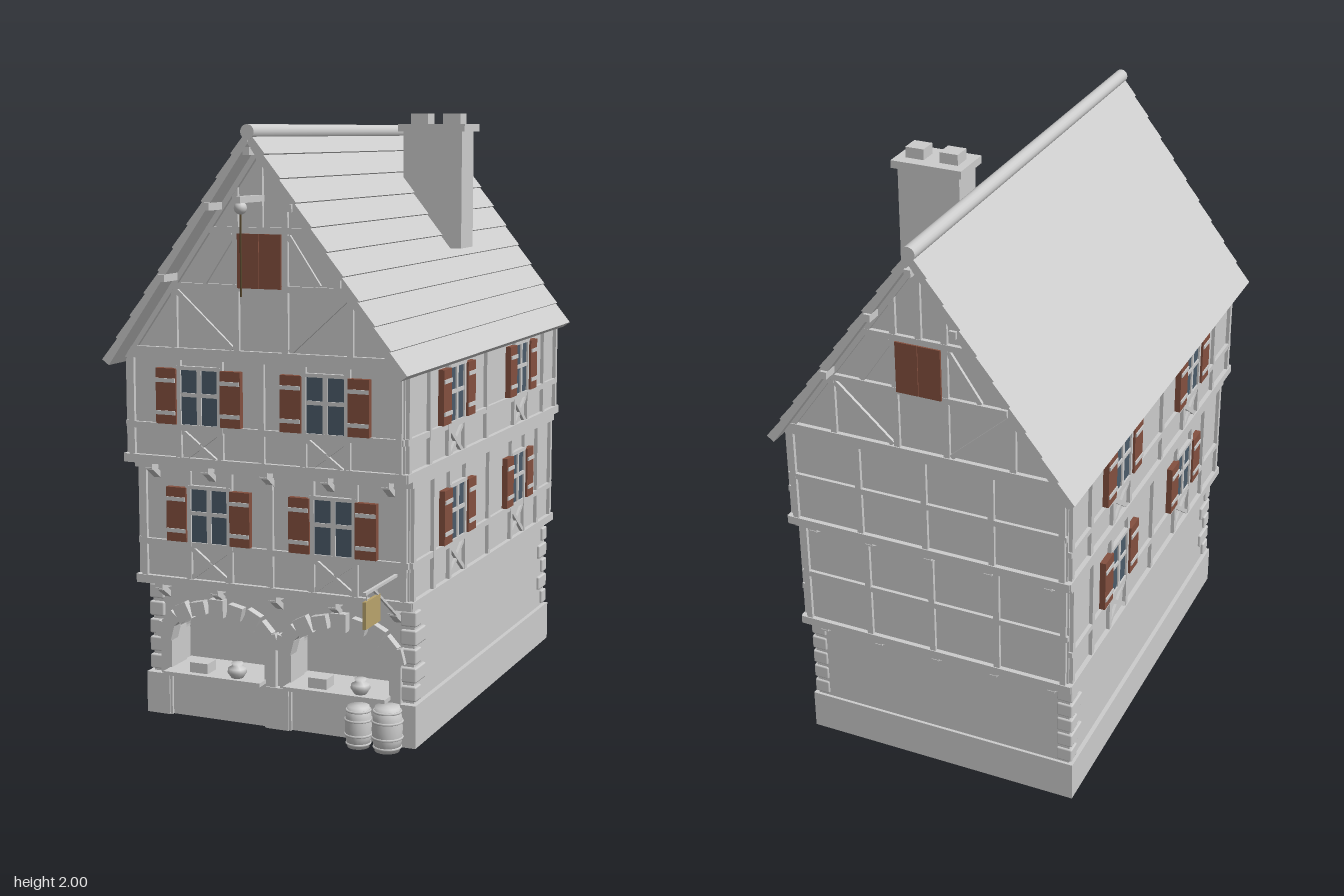
import * as THREE from 'three';
import { RoundedBoxGeometry } from 'three/addons/geometries/RoundedBoxGeometry.js';

const mat = (name, color) => Object.assign(new THREE.MeshStandardMaterial({ color }), { name });

export function createModel() {
  const model = new THREE.Group();
  model.name = 'timberFramedHouse';
  const plaster = mat('pale grey', 0xcccccc);
  const red = mat('shutter red', 0x84503f);
  const blue = mat('window blue', 0x4b5b6a);
  const tan = mat('sign tan', 0xb9a46c);
  const brown = mat('rope brown', 0x5a4a2e);

  function add(parent, name, geo, material = plaster, x = 0, y = 0, z = 0) {
    const m = new THREE.Mesh(geo, material);
    m.name = name;
    m.position.set(x, y, z);
    parent.add(m);
    return m;
  }
  // box given by its limits
  const span = (p, name, x0, x1, y0, y1, z0, z1, material) =>
    add(p, name, new THREE.BoxGeometry(x1 - x0, y1 - y0, z1 - z0), material, (x0 + x1) / 2, (y0 + y1) / 2, (z0 + z1) / 2);
  // timber lying on a wall face between two points
  function beam(p, x0, y0, x1, y1, w = 0.022, d = 0.012) {
    const len = Math.hypot(x1 - x0, y1 - y0);
    const m = add(p, 'timber', new THREE.BoxGeometry(len, w, d * 2), plaster, (x0 + x1) / 2, (y0 + y1) / 2, 0);
    m.rotation.z = Math.atan2(y1 - y0, x1 - x0);
    return m;
  }
  const extrude = (shape, z0, z1) =>
    new THREE.ExtrudeGeometry(shape, { depth: z1 - z0, bevelEnabled: false, curveSegments: 16 }).translate(0, 0, z0);
  const polygon = pts => new THREE.Shape(pts.map(p => new THREE.Vector2(p[0], p[1])));
  // wall face whose local +z points outwards
  function face(name, x, z, turn) {
    const g = new THREE.Group();
    g.name = name;
    g.position.set(x, 0, z);
    g.rotation.y = turn;
    model.add(g);
    return g;
  }

  // window with mullions, shutters and a crossed panel beneath
  function windowUnit(p, u, rail) {
    const g = new THREE.Group();
    g.name = 'window';
    g.position.set(u, rail, 0);
    p.add(g);
    span(g, 'glass', -0.07, 0.07, 0.01, 0.19, 0, 0.006, blue);
    span(g, 'mullion', -0.008, 0.008, 0.01, 0.19, 0, 0.011);
    span(g, 'glazingBar', -0.07, 0.07, 0.1, 0.113, 0, 0.011);
    span(g, 'windowHead', -0.08, 0.08, 0.187, 0.199, 0, 0.014);
    for (const s of [-1, 1]) {
      span(g, 'shutter', s * 0.115 - 0.036, s * 0.115 + 0.036, 0.01, 0.19, 0, 0.02, red);
      for (const y of [0.04, 0.145])
        span(g, 'shutterBand', s * 0.115 - 0.034, s * 0.115 + 0.034, y, y + 0.013, 0.018, 0.024);
      beam(g, s * 0.067, -0.11, -s * 0.067, -0.01, 0.015, 0.01 + s * 0.001);
    }
  }

  // ground floor with plinth and an arcaded front wall
  span(model, 'groundFloorCore', -0.47, 0.47, 0, 0.46, -0.78, 0.46);
  const wall = polygon([[-0.47, 0], [0.47, 0], [0.47, 0.46], [-0.47, 0.46]]);
  for (const c of [-0.22, 0.22]) {
    const hole = new THREE.Path();
    hole.moveTo(c + 0.18, 0.02);
    hole.lineTo(c + 0.18, 0.27);
    hole.absellipse(c, 0.27, 0.18, 0.09, 0, Math.PI, false);
    hole.lineTo(c - 0.18, 0.02);
    hole.closePath();
    wall.holes.push(hole);
  }
  add(model, 'arcadeWall', extrude(wall, 0.45, 0.585));
  span(model, 'plinth', -0.485, 0.485, 0, 0.14, -0.79, 0.5);
  for (const [a, b] of [[-0.485, -0.4], [-0.04, 0.04], [0.4, 0.485]])
    span(model, 'plinthFront', a, b, 0, 0.14, 0.49, 0.61);
  for (const c of [-0.22, 0.22]) {
    // arch stones, jambs and shop counter
    for (let i = 0; i < 9; i++) {
      const a = Math.PI * (0.05 + 0.9 * i / 8);
      const m = add(model, 'archStone', new THREE.BoxGeometry(0.052, i % 2 ? 0.045 : 0.06, 0.05), plaster,
        c + 0.195 * Math.cos(a), 0.272 + 0.112 * Math.sin(a), 0.59);
      m.rotation.z = Math.atan2(Math.sin(a) * 0.2, Math.cos(a) * 0.12) - Math.PI / 2;
    }
    for (const s of [-1, 1])
      span(model, 'archJamb', c + s * 0.192 - 0.02, c + s * 0.192 + 0.02, 0, 0.29, 0.5, 0.605);
    span(model, 'counterFront', c - 0.18, c + 0.18, 0, 0.155, 0.46, 0.595);
    span(model, 'counterTop', c - 0.178, c + 0.178, 0.15, 0.163, 0.46, 0.655);
    const k = c < 0 ? 0 : 0.01;
    span(model, 'goodsBox', c - 0.09 - k, c - 0.025 - k, 0.163, 0.197, 0.57, 0.63);
    const jar = [[0, 0], [0.02, 0], [0.032, 0.018], [0.03, 0.032], [0.016, 0.04], [0.02, 0.05], [0, 0.05]];
    add(model, 'jar', new THREE.LatheGeometry(jar.map(p => new THREE.Vector2(...p)), 16), plaster, c + 0.08, 0.163, 0.62);
  }

  // corner quoins
  for (const sx of [-1, 1]) for (const [sz, z] of [[1, 0.59], [-1, -0.78]])
    for (let i = 0; i < 5; i++) {
      const len = i % 2 ? 0.09 : 0.05;
      add(model, 'quoin', new RoundedBoxGeometry(0.055, 0.05, len, 1, 0.006), plaster,
        sx * 0.453, 0.173 + i * 0.061, z + sz * (0.006 - len / 2));
    }

  // two jettied storeys
  const storeys = [
    { y0: 0.46, y1: 0.875, x: 0.476, zf: 0.645, zb: -0.81, wins: [0.235, -0.4], posts: [0.455, -0.08, -0.63] },
    { y0: 0.875, y1: 1.245, x: 0.482, zf: 0.703, zb: -0.84, wins: [0.267, -0.405], posts: [0.51, -0.03, -0.67] },
  ];
  for (const { y0, y1, x, zf, zb, wins, posts } of storeys) {
    span(model, 'storeyWall', -x, x, y0, y1, zb, zf);
    const rail = y0 + (y0 < 0.5 ? 0.142 : 0.125);
    const faces = [
      { g: face('frontFace', 0, zf, 0), a: -x, b: x, w: [-0.22, 0.22], p: [0] },
      { g: face('backFace', 0, zb, Math.PI), a: -x, b: x, w: [], p: [-0.23, 0, 0.23] },
    ];
    for (const s of [1, -1]) {
      const ends = [-s * zf, -s * zb].sort((m, n) => m - n);
      faces.push({ g: face('sideFace', s * x, 0, s * Math.PI / 2), a: ends[0], b: ends[1],
        w: wins.map(z => -s * z), p: posts.map(z => -s * z) });
    }
    for (const { g, a, b, w, p } of faces) {
      beam(g, a - 0.012, y0 + 0.014, b + 0.012, y0 + 0.014, 0.028, 0.016);
      beam(g, a - 0.012, y1 - 0.014, b + 0.012, y1 - 0.014, 0.024, 0.014);
      const mid = w.length ? rail : (y0 + y1) / 2;
      beam(g, a, mid, b, mid, 0.02);
      const all = [a + 0.016, b - 0.016, ...p];
      for (const u of w) {
        all.push(u - 0.075, u + 0.075);
        windowUnit(g, u, rail);
      }
      for (const u of all) beam(g, u, y0, u, y1, 0.02, 0.0125);
    }
    // joist ends and braces carrying the overhang
    for (const u of [-0.415, -0.21, 0, 0.21, 0.415]) for (const [s, z] of [[1, zf], [-1, zb]]) {
      const inner = z - s * 0.07;
      span(model, 'joistEnd', u - 0.014, u + 0.014, y0 - 0.024, y0 + 0.004, Math.min(z, inner), Math.max(z, inner));
      const m = add(model, 'jettyBrace', new THREE.BoxGeometry(0.024, 0.018, 0.075), plaster, u, y0 - 0.032, z - s * 0.035);
      m.rotation.x = -s * 0.6;
    }
  }

  // attic and gable framing
  add(model, 'gableWall', extrude(polygon([[-0.48, 1.24], [0.48, 1.24], [0, 1.912]]), -0.84, 0.703));
  for (const g of [face('frontGable', 0, 0.703, 0), face('backGable', 0, -0.84, Math.PI)]) {
    beam(g, -0.48, 1.245, 0.48, 1.245, 0.024, 0.016);
    beam(g, -0.32, 1.455, 0.32, 1.455, 0.02, 0.014);
    beam(g, -0.185, 1.635, 0.185, 1.635, 0.02, 0.014);
    beam(g, 0, 1.635, 0, 1.9, 0.02);
    for (const s of [-1, 1]) {
      beam(g, s * 0.47, 1.235, 0, 1.893, 0.024, 0.013);
      beam(g, s * 0.305, 1.245, s * 0.305, 1.47, 0.02);
      beam(g, s * 0.085, 1.245, s * 0.085, 1.77, 0.02);
      beam(g, s * 0.3, 1.44, s * 0.1, 1.26, 0.016, 0.01);
      beam(g, s * 0.2, 1.465, s * 0.095, 1.62, 0.016, 0.01);
      span(g, 'loftHatch', s > 0 ? 0.001 : -0.075, s > 0 ? 0.075 : -0.001, 1.455, 1.625, 0, 0.02, red);
    }
  }

  // roof slopes with ten lapped courses each
  const eave = new THREE.Vector2(0.518, 1.213), up = new THREE.Vector2(-0.518, 0.727);
  const out = new THREE.Vector2(0.727, 0.518).normalize();
  for (const s of [-1, 1]) {
    const at = (t, n) => [s * (eave.x + up.x * t + out.x * n), eave.y + up.y * t + out.y * n];
    const pts = [at(0, -0.022)];
    for (let i = 0; i < 10; i++) pts.push(at(i / 10, 0.008), at((i + 1) / 10, 0.002));
    pts.push([0, 1.903]);
    add(model, 'roofSlope', extrude(polygon(pts), -0.895, 0.795));
    for (const [x, y] of [[0.14, 1.71], [0.3, 1.485]])
      span(model, 'purlin', s * x - 0.011, s * x + 0.011, y - 0.012, y + 0.012, -0.905, 0.805);
  }
  span(model, 'ridgeBeam', -0.011, 0.011, 1.868, 1.892, -0.905, 0.805);
  const ridge = add(model, 'ridgeRoll', new THREE.CylinderGeometry(0.023, 0.023, 1.694, 16), plaster, 0, 1.938, -0.05);
  ridge.rotation.x = Math.PI / 2;

  // chimney
  span(model, 'chimneyStack', 0.118, 0.335, 1.535, 1.94, -0.31, -0.19);
  span(model, 'chimneyCap', 0.103, 0.35, 1.938, 1.964, -0.327, -0.175);
  for (const x of [0.165, 0.285]) span(model, 'chimneyPot', x - 0.032, x + 0.032, 1.96, 2, -0.286, -0.222);

  // loft hoist
  span(model, 'hoistBeam', -0.012, 0.012, 1.725, 1.745, 0.69, 0.87);
  add(model, 'hoistPulley', new THREE.SphereGeometry(0.02, 14, 10), plaster, 0, 1.71, 0.845);
  add(model, 'hoistRope', new THREE.CylinderGeometry(0.003, 0.003, 0.27, 6), brown, 0, 1.575, 0.845);

  // hanging sign
  span(model, 'signArm', 0.428, 0.438, 0.565, 0.574, 0.65, 0.905);
  const stay = add(model, 'signStay', new THREE.BoxGeometry(0.008, 0.008, 0.225), plaster, 0.433, 0.508, 0.745);
  stay.rotation.x = -0.59;
  span(model, 'signBoard', 0.428, 0.438, 0.46, 0.545, 0.79, 0.905, tan);
  for (const z of [0.81, 0.885]) span(model, 'signHanger', 0.431, 0.435, 0.543, 0.567, z - 0.002, z + 0.002);

  // barrels with hoops
  for (const [x, r, h] of [[0.308, 0.044, 0.135], [0.407, 0.05, 0.145]]) {
    const side = [0, 0.25, 0.5, 0.75, 1].map(t => new THREE.Vector2(r * (0.8 + 0.8 * t * (1 - t)), h * t));
    const barrel = [new THREE.Vector2(0, 0), ...side, new THREE.Vector2(0, h)];
    add(model, 'barrel', new THREE.LatheGeometry(barrel, 18), plaster, x, 0, 0.655);
    for (const t of [0.1, 0.32, 0.68, 0.9]) {
      const hoop = add(model, 'barrelHoop', new THREE.TorusGeometry(r * (0.8 + 0.8 * t * (1 - t)), 0.004, 6, 18), plaster, x, h * t, 0.655);
      hoop.rotation.x = Math.PI / 2;
    }
  }
  return model;
}
